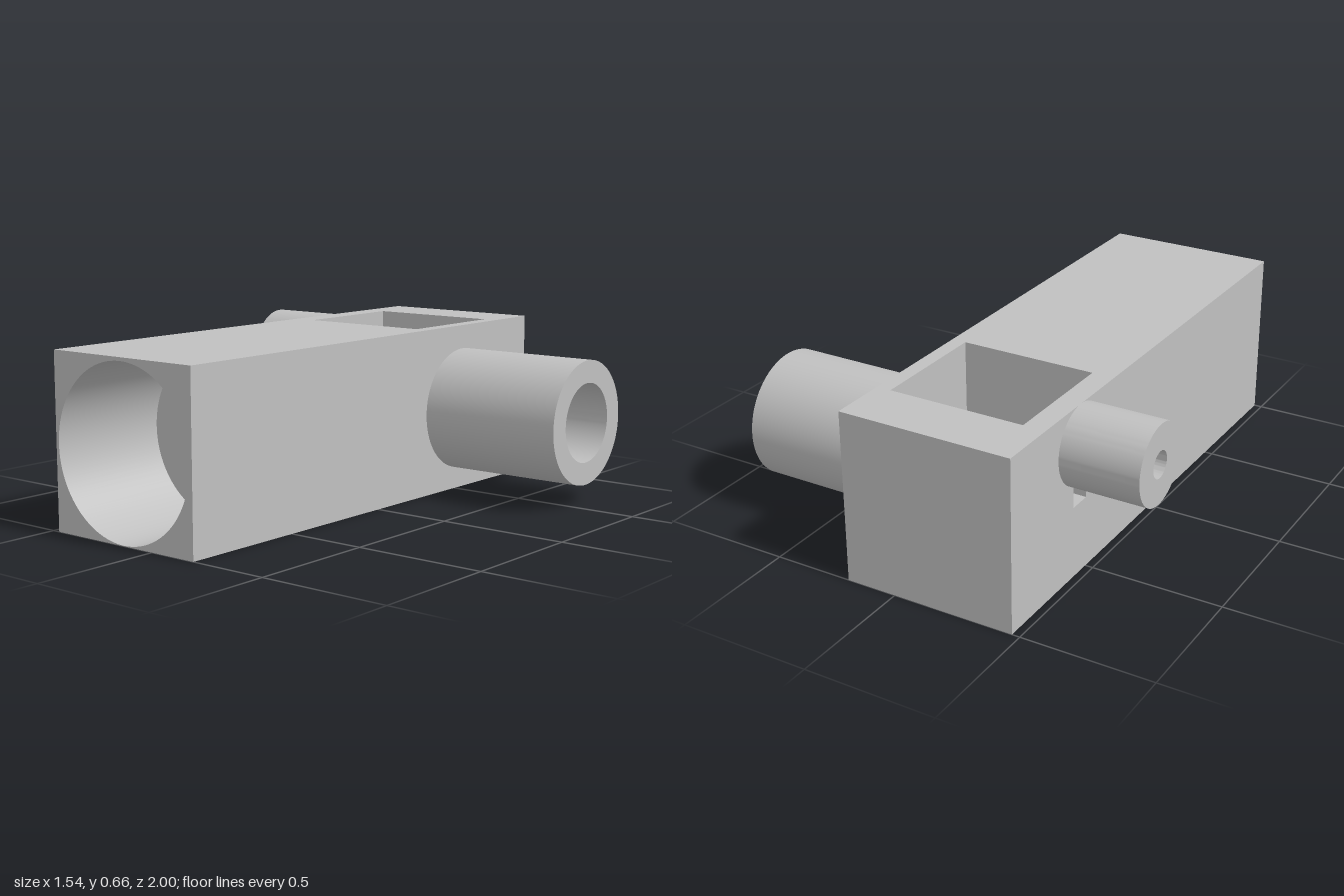
import * as THREE from 'three';
import { toCreasedNormals } from 'three/addons/utils/BufferGeometryUtils.js';

// Main dimensions
const X0 = -0.47, X1 = 0.195, H = 0.655;        // housing width and height
const CX = -0.1375, CY = 0.322, CZ = -0.545;    // bore axis and port axis
const PX0 = -0.385, PX1 = 0.14, PR = 0.235;     // top pocket
const WALL = 0.26;                              // height where pocket floor starts to curve
const SMALL_Y = 0.505;                          // small port axis height

const rect = (x0, y0, x1, y1, Type = THREE.Shape) =>
  new Type([[x0, y0], [x1, y0], [x1, y1], [x0, y1]].map(([x, y]) => new THREE.Vector2(x, y)));
const rectHole = (...a) => rect(...a, THREE.Path);
const circleHole = (x, y, r) => new THREE.Path().absarc(x, y, r, 0, Math.PI * 2, true);

export function createModel() {
  const model = new THREE.Group();
  const grey = new THREE.MeshStandardMaterial({ color: 0xc0c0c0, side: THREE.DoubleSide });
  grey.name = 'grey';

  const add = (name, geometry, x, y, z) => {
    const mesh = new THREE.Mesh(geometry, grey);
    mesh.name = name;
    mesh.position.set(x, y, z);
    model.add(mesh);
    return mesh;
  };
  // Flat wall with holes, turned about x and y
  const face = (name, shape, holes, pos, rx = 0, ry = 0) => {
    shape.holes.push(...holes);
    add(name, new THREE.ShapeGeometry(shape, 48), ...pos).rotation.set(rx, ry, 0);
  };
  // Turned part with crisp steps
  const turned = (points) => toCreasedNormals(
    new THREE.LatheGeometry(points.map(([r, y]) => new THREE.Vector2(r, y)), 96), 0.6);

  const Q = Math.PI / 2;

  // Housing walls
  face('frontWall', rect(X0, 0, X1, H), [circleHole(CX, CY, 0.32)], [0, 0, 1]);
  face('backWall', rect(-X1, 0, -X0, H), [], [0, 0, -1], 0, Math.PI);
  face('bottomWall', rect(X0, -1, X1, 1), [], [0, 0, 0], Q);
  face('topWall', rect(X0, -1, X1, 1),
    [rectHole(PX0, -CZ - PR, PX1, -CZ + PR)], [0, H, 0], -Q);
  face('leftWall', rect(-1 + CZ, 0, 1 + CZ, H),
    [circleHole(0, CY, 0.24)], [X1, 0, CZ], 0, Q);
  face('rightWall', rect(-1 - CZ, 0, 1 - CZ, H),
    [circleHole(0, SMALL_Y, 0.05), rectHole(-0.045, 0.277, 0.045, 0.367)], [X0, 0, CZ], 0, -Q);

  // Stepped bore from the front through to the pocket
  const bore = turned([[0.32, 1], [0.32, 0.52], [0.075, 0.52], [0.075, 0.4],
    [0.055, 0.4], [0.055, CZ + PR]]);
  add('frontBore', bore.rotateX(Q), CX, CY, 0);

  // Pocket end walls share a U outline
  const outline = () => {
    const s = new THREE.Shape();
    s.moveTo(PR, H);
    s.lineTo(-PR, H);
    s.lineTo(-PR, WALL);
    s.absellipse(0, WALL, PR, WALL - 0.087, Math.PI, Math.PI * 2, false);
    return s;
  };
  face('pocketLeftWall', outline(), [circleHole(0, CY, 0.055)], [PX1, 0, CZ], 0, -Q);
  face('pocketRightWall', outline(),
    [circleHole(0, SMALL_Y, 0.05), rectHole(-0.045, 0.277, 0.045, 0.367)], [PX0, 0, CZ], 0, Q);
  face('pocketBackWall', rect(PX0, WALL, PX1, H), [], [0, 0, CZ - PR]);
  face('pocketFrontWall', rect(-PX1, WALL, -PX0, H),
    [rectHole(0.108, 0.277, 0.19, 0.367)], [0, 0, CZ + PR], 0, Math.PI);

  // Rounded pocket floor: half a cylinder lying along x, facing inward
  const floor = new THREE.LatheGeometry(
    [new THREE.Vector2(PR, PX1), new THREE.Vector2(PR, PX0)], 48, 0, Math.PI);
  floor.rotateZ(-Q).scale(1, (WALL - 0.087) / PR, 1);
  add('pocketFloor', floor, 0, WALL, CZ);

  // Large side port with blind socket and small passage into the pocket
  const large = turned([[0.24, X1], [0.24, 0.77], [0.153, 0.77], [0.153, X1],
    [0.055, X1], [0.055, PX1]]);
  add('largePort', large.rotateZ(-Q), 0, CY, CZ);

  // Small side port, bored through to the pocket
  const small = turned([[0.15, -X0], [0.15, 0.77], [0.05, 0.77], [0.05, -PX0]]);
  add('smallPort', small.rotateZ(Q), 0, SMALL_Y, CZ);

  // Square passage below the small port
  const square = new THREE.CylinderGeometry(0.045 * Math.SQRT2, 0.045 * Math.SQRT2,
    PX0 - X0, 4, 1, true).rotateY(Math.PI / 4).rotateZ(Q);
  add('squarePassage', toCreasedNormals(square, 0.5), (X0 + PX0) / 2, CY, CZ);

  return model;
}
